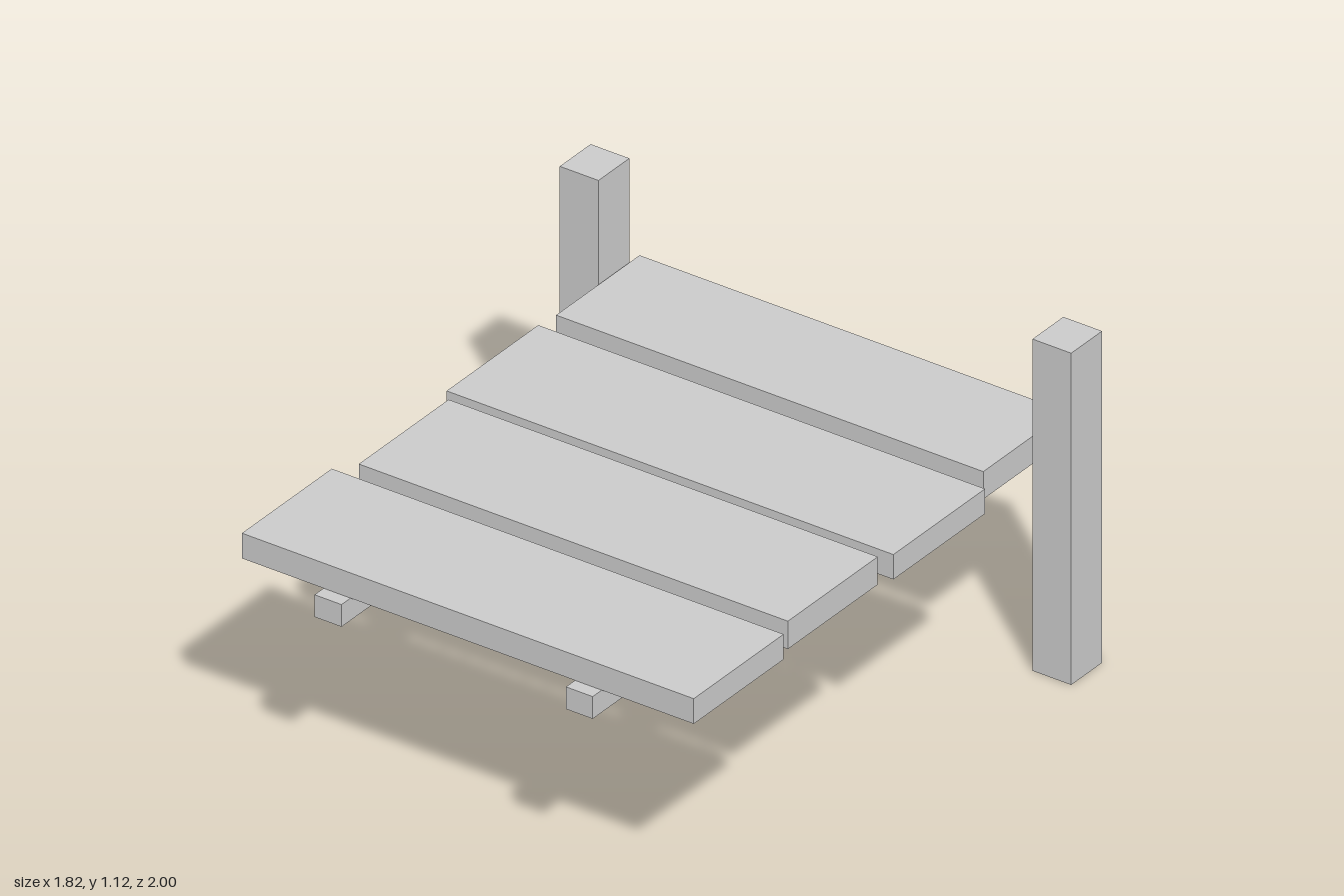
import * as THREE from 'three';

export function createModel() {
  const model = new THREE.Group();
  const material = new THREE.MeshStandardMaterial({ color: 0xcccccc, flatShading: true });

  // Box given by its [min, max] extent along each axis
  function addBox(name, [x0, x1], [y0, y1], [z0, z1]) {
    const mesh = new THREE.Mesh(new THREE.BoxGeometry(x1 - x0, y1 - y0, z1 - z0), material);
    mesh.position.set((x0 + x1) / 2, (y0 + y1) / 2, (z0 + z1) / 2);
    mesh.name = name;
    model.add(mesh);
  }

  // Uneven deck planks, back to front: x extent, top height, z extent
  const planks = [
    [[-0.77, 0.752], 0.773, [-0.983, -0.567]],
    [[-0.788, 0.804], 0.764, [-0.503, -0.046]],
    [[-0.745, 0.784], 0.774, [0.004, 0.452]],
    [[-0.802, 0.808], 0.765, [0.507, 0.955]],
  ];
  planks.forEach(([x, top, z], i) => addBox(`plank${i + 1}`, x, [0.68, top], z));

  // Two rails running under the planks
  addBox('rightRail', [-0.511, -0.415], [0.605, 0.68], [-1, 1]);
  addBox('leftRail', [0.385, 0.48], [0.605, 0.68], [-1, 1]);

  // Tall posts at the back corners
  addBox('rightPost', [-0.913, -0.775], [0, 1.12], [-0.939, -0.785]);
  addBox('leftPost', [0.77, 0.908], [0, 1.12], [-0.941, -0.787]);

  return model;
}
